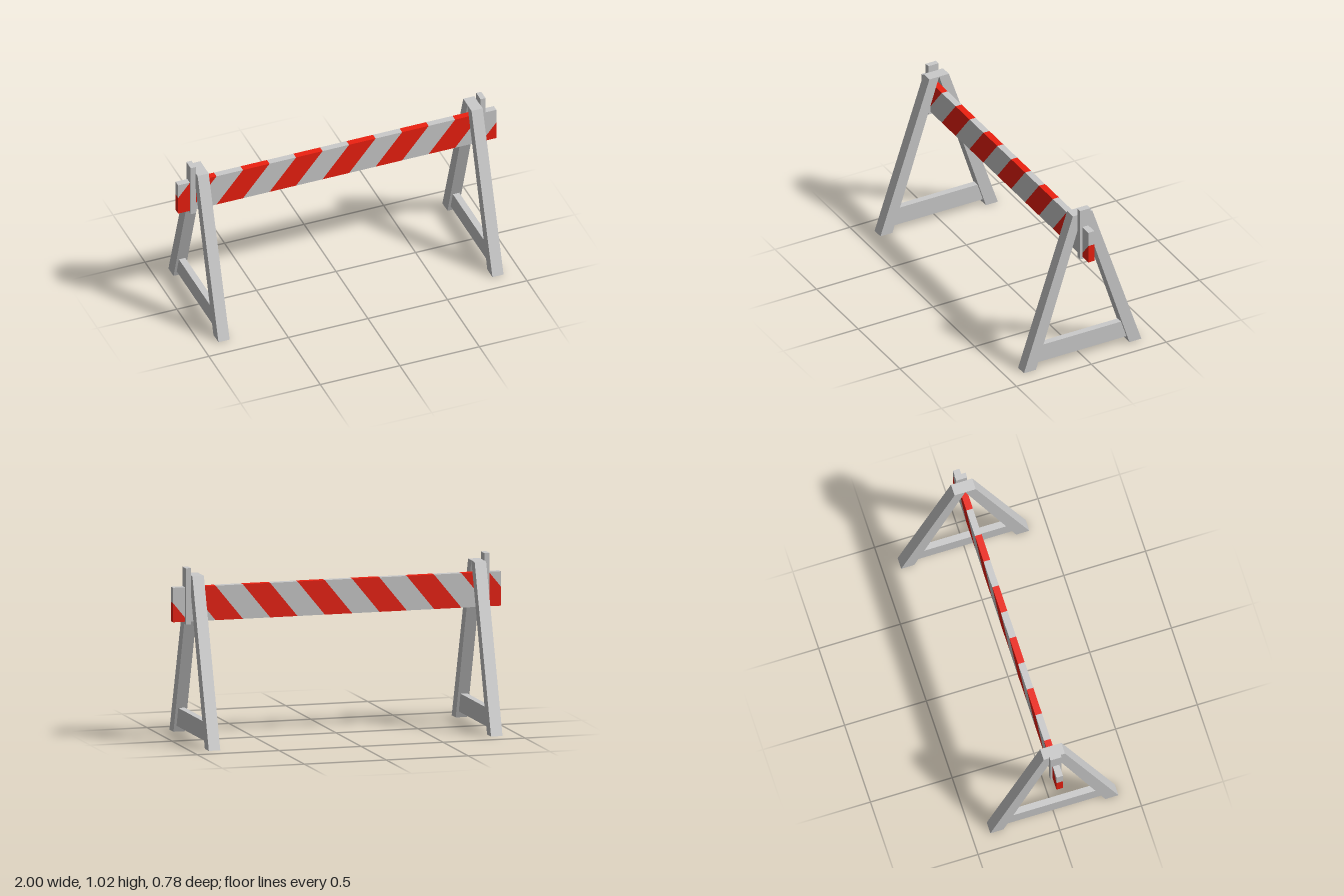
import * as THREE from 'three';

const grey = new THREE.MeshStandardMaterial({ color: 0xcccccc, flatShading: true });
const red = new THREE.MeshStandardMaterial({ color: 0xee2010, flatShading: true });

// Flat outline extruded to a thickness, centred on z = 0
function slab(points, depth) {
  const shape = new THREE.Shape(points.map(([x, y]) => new THREE.Vector2(x, y)));
  return new THREE.ExtrudeGeometry(shape, { depth, bevelEnabled: false }).translate(0, 0, -depth / 2);
}

function addMesh(parent, name, geometry, material, x = 0, y = 0, z = 0) {
  const mesh = new THREE.Mesh(geometry, material);
  mesh.name = name;
  mesh.position.set(x, y, z);
  parent.add(mesh);
  return mesh;
}

// Cut an outline at the vertical line x = limit, keeping the side nearer the centre
function clip(points, limit) {
  const inside = ([x]) => x * Math.sign(limit) <= Math.abs(limit);
  const out = [];
  points.forEach((p, i) => {
    const q = points[(i + 1) % points.length];
    if (inside(p)) out.push(p);
    if (inside(p) !== inside(q)) {
      const t = (limit - p[0]) / (q[0] - p[0]);
      out.push([limit, p[1] + t * (q[1] - p[1])]);
    }
  });
  return out;
}

// Striped board: slanted bands alternating red and grey
function createBoard() {
  const board = new THREE.Group();
  board.name = 'stripedBoard';
  const bottom = 0.706, top = 0.91, width = 1 / 6, start = -1.0925;
  for (let i = -1; i < 13; i++) {
    const x = start + i * width;
    const band = [[x, bottom], [x + width, bottom], [x + 2 * width, top], [x + width, top]];
    const outline = clip(clip(band, 1), -1);
    if (outline.length < 3) continue;
    const isRed = i % 2 === 0;
    addMesh(board, isRed ? 'redStripe' : 'greyStripe', slab(outline, 0.04), isRed ? red : grey);
  }
  return board;
}

// A-frame trestle with a cross rail and an upright holder on its outer side
function createTrestle(side) {
  const trestle = new THREE.Group();
  trestle.name = side > 0 ? 'leftTrestle' : 'rightTrestle';
  const leg = slab([[0.312, 0], [0.392, 0], [0.065, 0.98], [0, 0.98]], 0.07);
  for (const [name, turn] of [['frontLeg', -1], ['backLeg', 1]]) {
    addMesh(trestle, name, leg, grey).rotation.y = turn * Math.PI / 2;
  }
  addMesh(trestle, 'crossRail', new THREE.BoxGeometry(0.04, 0.111, 0.62), grey, 0, 0.0925);
  addMesh(trestle, 'boardHolder', new THREE.BoxGeometry(0.032, 0.333, 0.068), grey, side * 0.05, 0.8575);
  trestle.position.x = side * 0.861;
  return trestle;
}

export function createModel() {
  const model = new THREE.Group();
  model.name = 'roadBarrier';
  model.add(createBoard(), createTrestle(1), createTrestle(-1));
  return model;
}
